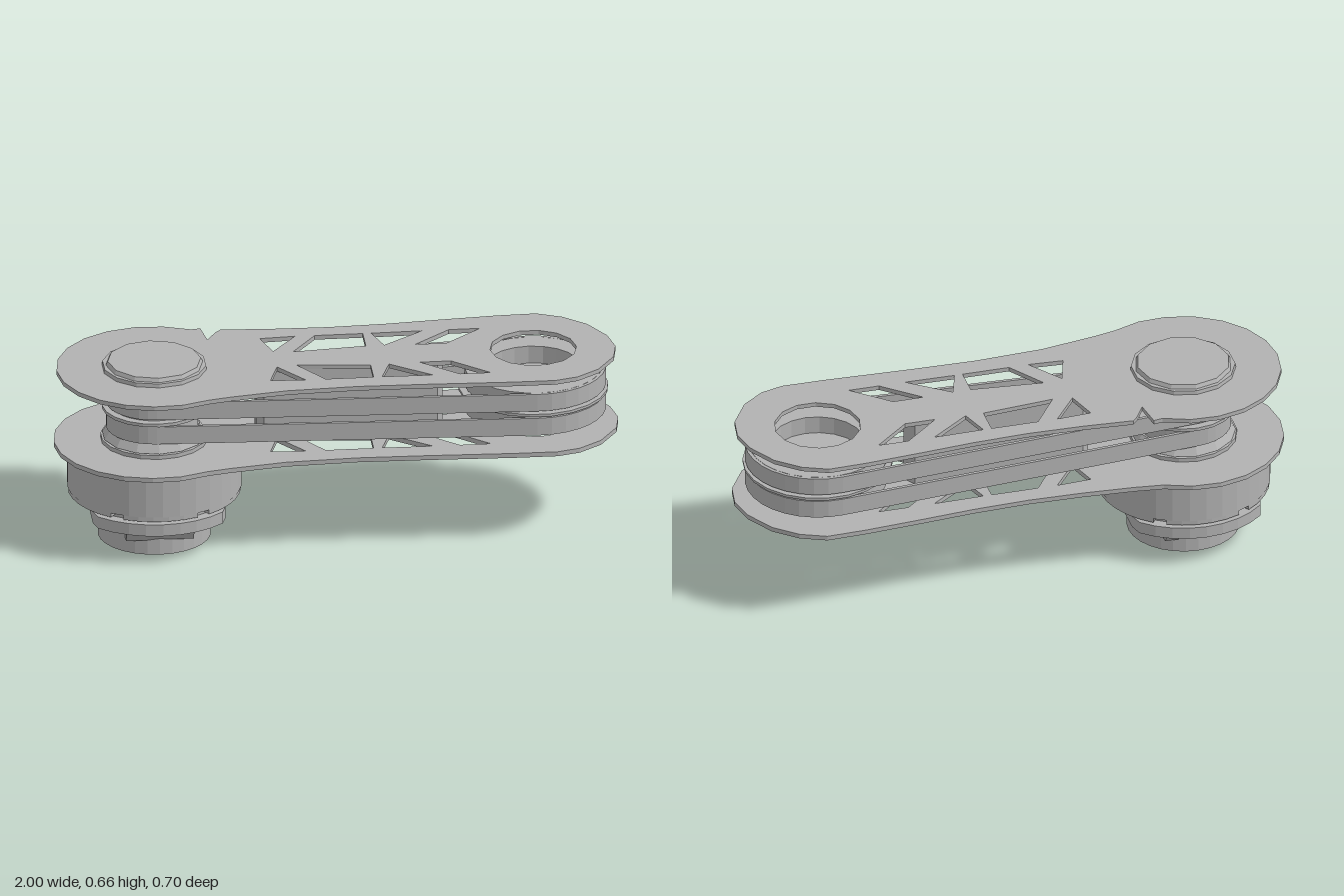
import * as THREE from 'three';

const HUB = { x: -0.645, z: 0 };
const END = { x: 0.7, z: -0.027 };
const MID_Z = -0.022;

export function createModel() {
  const model = new THREE.Group();
  model.name = 'beltDrivenArmLink';
  const metal = new THREE.MeshStandardMaterial({ color: 0xb2b2b2, flatShading: true });
  metal.name = 'machined grey';

  const add = (name, geo, parent = model) => {
    const mesh = new THREE.Mesh(geo, metal);
    mesh.name = name;
    parent.add(mesh);
    return mesh;
  };
  const vecs = pts => pts.map(([x, z]) => new THREE.Vector2(x, z));
  const ring = (c, r, n, turn = 0) => Array.from({ length: n }, (_, i) => {
    const a = turn + i / n * Math.PI * 2;
    return [c.x + r * Math.cos(a), c.z + r * Math.sin(a)];
  });
  // Horizontal slab from an (x, z) outline with holes
  const slab = (name, outline, holes, y0, y1) => {
    const shape = new THREE.Shape(vecs(outline));
    holes.forEach(h => shape.holes.push(new THREE.Path(vecs(h))));
    const geo = new THREE.ExtrudeGeometry(shape, { depth: y1 - y0, bevelEnabled: false });
    geo.rotateX(Math.PI / 2).translate(0, y1, 0);
    return add(name, geo);
  };
  const disc = (name, c, y0, y1, rBottom, rTop = rBottom, sides = 28) =>
    add(name, new THREE.CylinderGeometry(rTop, rBottom, y1 - y0, sides)
      .translate(c.x, (y0 + y1) / 2, c.z));

  // Side plates: round head, narrow waist, smaller round tail
  const plateOutline = (s, notch) => {
    const pts = [];
    for (let i = 0; i <= 14; i++) {
      const a = (62 + i * 236 / 14) * Math.PI / 180;
      pts.push([HUB.x + 0.346 * Math.cos(a), 0.35 * Math.sin(a)]);
    }
    if (notch) pts.push([-0.45, -0.315], [-0.435, -0.215], [-0.4, -0.275]);
    pts.push([-0.38, -0.297], [-0.2, -0.285], [0, -0.28], [0.2, -0.288], [0.4, -0.305],
      [0.6, -0.32], [0.74, -0.324], [0.83, -0.285], [0.91, -0.215], [0.97, -0.11], [0.99, -0.015],
      [0.975, 0.075], [0.91, 0.18], [0.83, 0.24], [0.75, 0.263], [0.6, 0.262], [0.3, 0.25],
      [0.05, 0.244], [-0.2, 0.256], [-0.4, 0.29]);
    return pts.map(([x, z]) => [x * s, z * s]);
  };
  const trussHalf = [
    [[-0.25, -0.205], [-0.125, -0.213], [-0.215, -0.09]],
    [[-0.055, -0.212], [0.115, -0.212], [0.115, -0.105], [-0.145, -0.08]],
    [[0.145, -0.212], [0.325, -0.215], [0.18, -0.105]],
    [[0.42, -0.215], [0.53, -0.215], [0.4, -0.1], [0.29, -0.1]],
  ];
  const truss = [...trussHalf, ...trussHalf.map(h => h.map(([x, z]) => [x, 2 * MID_Z - z]))];
  const plateHoles = [...truss, ring(END, 0.153, 14)];
  slab('topPlate', plateOutline(1, true), plateHoles, 0.62, 0.636);
  slab('bottomPlate', plateOutline(1.01, false), plateHoles, 0.345, 0.362);

  // Chamfered spacer between the plates
  slab('centreSpacer', [[-0.285, -0.04], [-0.26, -0.07], [0.355, -0.07], [0.375, -0.04],
    [0.375, 0.01], [0.355, 0.04], [-0.26, 0.04], [-0.285, 0.01]], [], 0.362, 0.62);

  // Two belts wrapped around both pulleys
  const beltLoop = inset => {
    const dx = END.x - HUB.x, dz = END.z - HUB.z;
    const r1 = 0.17 - inset, r2 = 0.257 - inset;
    const axis = Math.atan2(dz, dx), a = Math.acos((r1 - r2) / Math.hypot(dx, dz));
    const pts = [], n = 16;
    const arc = (c, r, from, to) => {
      for (let i = 0; i <= n; i++) {
        const t = axis + from + (to - from) * i / n;
        pts.push([c.x + r * Math.cos(t), c.z + r * Math.sin(t)]);
      }
    };
    arc(HUB, r1, a, 2 * Math.PI - a);
    arc(END, r2, -a, a);
    return pts;
  };
  const belts = [['lowerBelt', 0.412, 0.478], ['upperBelt', 0.505, 0.57]];
  belts.forEach(([name, y0, y1]) => {
    slab(name, beltLoop(0), [beltLoop(0.012)], y0, y1);
    slab(name + 'TailRim', ring(END, 0.244, 28), [ring(END, 0.165, 20)], y0, y1);
  });

  // Tail pulley centre flange and web
  slab('tailPulleyFlange', ring(END, 0.265, 22), [ring(END, 0.16, 20)], 0.486, 0.496);
  disc('tailPulleyWeb', END, 0.478, 0.505, 0.166);

  // Drive pulley stack at the hub
  disc('drivePulley', HUB, 0.41, 0.57, 0.156);
  disc('drivePulleyFlange', HUB, 0.484, 0.496, 0.185, 0.185, 20);
  disc('lowerHubSeat', HUB, 0.362, 0.377, 0.19, 0.19, 18);
  disc('lowerHubCone', HUB, 0.38, 0.41, 0.185, 0.165, 14);
  disc('lowerHubCore', HUB, 0.375, 0.385, 0.16);
  disc('upperHub', HUB, 0.57, 0.607, 0.164, 0.164, 16);
  disc('upperHubFlange', HUB, 0.606, 0.62, 0.196, 0.196, 16);
  disc('capBase', HUB, 0.636, 0.65, 0.186, 0.184, 14);
  disc('capTop', HUB, 0.65, 0.664, 0.172, 0.165, 12);

  // Motor housing
  disc('motorTopStep', HUB, 0.335, 0.345, 0.285);
  disc('motorHousing', HUB, 0.19, 0.336, 0.308, 0.308, 32);
  disc('motorLowerCore', HUB, 0.163, 0.191, 0.275);
  const arcs = 6;
  for (let i = 0; i < arcs; i++) {
    const pts = [];
    const start = i / arcs * Math.PI * 2 + 0.1, span = Math.PI * 2 / arcs - 0.16;
    for (const [r, dir] of [[0.306, 1], [0.27, -1]]) {
      for (let k = 0; k <= 5; k++) {
        const a = start + span * (dir > 0 ? k : 5 - k) / 5;
        pts.push([HUB.x + r * Math.cos(a), r * Math.sin(a)]);
      }
    }
    slab('motorRimSegment', pts, [], 0.173, 0.191);
  }

  // Mounting flange, trimmed flat on both x sides
  const flange = ring(HUB, 0.312, 32).map(([x, z]) =>
    [HUB.x + THREE.MathUtils.clamp(x - HUB.x, -0.235, 0.235), z]);
  slab('mountingFlange', flange, [], 0.12, 0.164);
  add('cableSocket', new THREE.BoxGeometry(0.02, 0.03, 0.09).translate(HUB.x + 0.236, 0.142, 0));
  for (const z of [-0.055, 0.055]) {
    add('socketCheek', new THREE.BoxGeometry(0.024, 0.04, 0.012).translate(HUB.x + 0.236, 0.142, z));
  }

  // Gussets flaring out under the flange
  for (const side of [-1, 1]) {
    const profile = new THREE.Shape(vecs([[0.1, 0.055], [0.195, 0.055], [0.242, 0.121], [0.1, 0.121]]));
    const geo = new THREE.ExtrudeGeometry(profile, { depth: 0.24, bevelEnabled: false });
    geo.translate(0, 0, -0.12).rotateY(side * Math.PI / 2).translate(HUB.x, 0, 0);
    add('flangeGusset', geo);
  }

  // Base boss with hex socket and bolt holes underneath
  const bolts = ring(HUB, 0.135, 6, 0.3).map(([x, z]) => ring({ x, z }, 0.01, 6));
  slab('baseBoss', ring(HUB, 0.2, 28), [ring(HUB, 0.06, 6), ...bolts], 0, 0.06);
  disc('baseCore', HUB, 0.06, 0.121, 0.2);

  return model;
}
